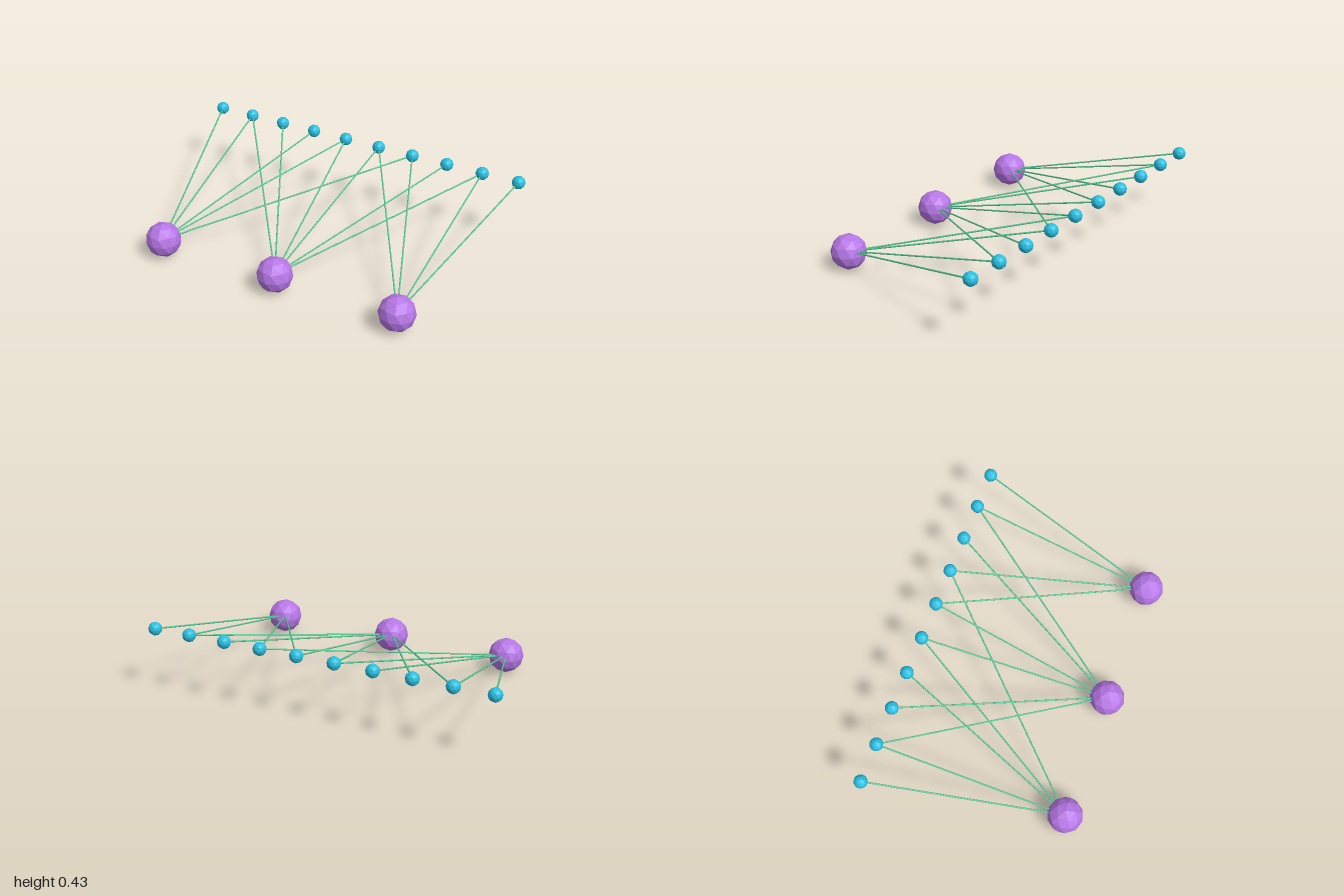
import * as THREE from 'three';

const mat = (name, color, flatShading = false) => {
  const m = new THREE.MeshStandardMaterial({ color, flatShading });
  m.name = name;
  return m;
};

// Faceted ball with a corner pointing straight up
function ball(radius) {
  const g = new THREE.IcosahedronGeometry(radius, 1);
  g.rotateZ(-Math.atan(2 / (1 + Math.sqrt(5))));
  return g;
}

export function createModel() {
  const purple = mat('purple', 0xb777e6, true);
  const teal = mat('teal', 0x27bfe0, true);
  const green = mat('green', 0x55c894);

  const model = new THREE.Group();
  model.name = 'nodeNetwork';

  const add = (geometry, material, name, position) => {
    const mesh = new THREE.Mesh(geometry, material);
    mesh.name = name;
    mesh.position.copy(position);
    model.add(mesh);
    return mesh;
  };

  // Three large nodes in the front row
  const largeGeo = ball(0.1);
  const large = [-0.703, 0.011, 0.725].map((x) => new THREE.Vector3(x, 0.1, 0.494));
  large.forEach((p, i) => add(largeGeo, purple, `largeNode${i + 1}`, p));

  // Ten small nodes in the raised back row
  const smallGeo = ball(0.038);
  const small = [];
  for (let i = 0; i < 10; i++) {
    small.push(new THREE.Vector3((i - 4.5) * 0.2142, 0.387, -0.556));
    add(smallGeo, teal, `smallNode${i + 1}`, small[i]);
  }

  // Thin rods: the small nodes joined to each large node
  const links = [
    [0, 1, 3, 4, 6],
    [1, 2, 4, 5, 7, 8],
    [5, 6, 8, 9],
  ];
  const up = new THREE.Vector3(0, 1, 0);
  links.forEach((targets, i) => targets.forEach((j) => {
    const dir = small[j].clone().sub(large[i]);
    const mid = small[j].clone().add(large[i]).multiplyScalar(0.5);
    const rod = add(new THREE.CylinderGeometry(0.0045, 0.0045, dir.length(), 8), green, `rod${i + 1}to${j + 1}`, mid);
    rod.quaternion.setFromUnitVectors(up, dir.normalize());
  }));

  return model;
}
